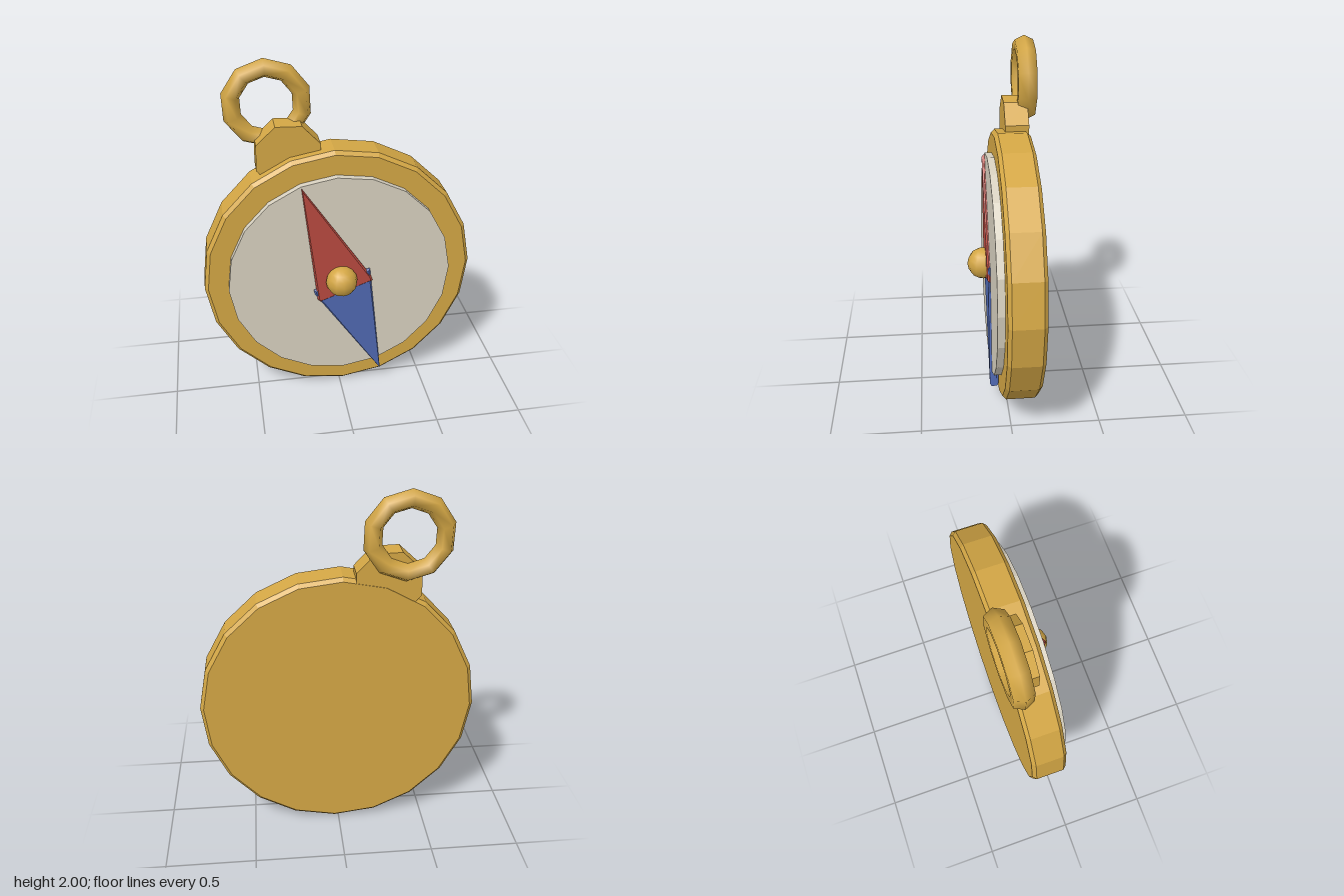
import * as THREE from 'three';

const paint = (name, color, flatShading = true) => {
  const m = new THREE.MeshStandardMaterial({ color, flatShading });
  m.name = name;
  return m;
};

// Faceted disc turned about the z axis; profile is [radius, z] from back to front
function disc(profile, sides, turn) {
  const points = profile.map(([r, z]) => new THREE.Vector2(r, z));
  return new THREE.LatheGeometry(points, sides, turn).rotateX(Math.PI / 2);
}

// Thin plate with chamfered edges, kept inside its outline
function plate(outline, depth) {
  const bevel = 0.01;
  const shape = new THREE.Shape(outline.map(([x, y]) => new THREE.Vector2(x, y)));
  return new THREE.ExtrudeGeometry(shape, {
    depth: depth - 2 * bevel, bevelEnabled: true, bevelSegments: 1,
    bevelSize: bevel, bevelThickness: bevel, bevelOffset: -bevel,
  }).translate(0, 0, bevel);
}

export function createModel() {
  const group = new THREE.Group();
  group.name = 'compass';
  const gold = paint('gold', 0xd4a745);
  const smoothGold = gold;
  const ivory = paint('ivory', 0xd8d1c0);
  const red = paint('red', 0xb94a3f);
  const blue = paint('blue', 0x4f68b1);
  // one gold colour: rounded parts keep smooth normals, faceted parts get split ones
  gold.flatShading = false;

  const add = (name, geometry, material, x, y, z) => {
    const mesh = new THREE.Mesh(geometry, material);
    mesh.name = name;
    mesh.position.set(x, y, z);
    group.add(mesh);
    return mesh;
  };
  const faceted = (geometry) => {
    const g = geometry.toNonIndexed();
    g.computeVertexNormals();
    return g;
  };

  // Case with chamfered rims
  add('case', faceted(disc([[0, -0.155], [0.75, -0.155], [0.77, -0.135],
    [0.77, 0.025], [0.75, 0.045], [0, 0.045]], 20, 0.03)), gold, 0, 0.77, 0);

  // Dial
  add('dial', disc([[0, 0.03], [0.636, 0.03], [0.636, 0.085], [0, 0.085]], 20, 0.03),
    ivory, 0, 0.77, 0);

  // Needle halves
  add('northNeedle', plate([[-0.213, 1.36], [-0.135, 0.645], [-0.118, 0.63],
    [0.185, 0.745], [0.172, 0.78]], 0.05), red, 0, 0, 0.052);
  add('southNeedle', plate([[0.245, 0.09], [0.168, 0.825], [0.148, 0.822],
    [-0.157, 0.71], [-0.15, 0.68]], 0.05), blue, 0, 0, 0.048);

  // Centre pivot
  add('pivot', new THREE.SphereGeometry(0.09, 12, 8), smoothGold, 0, 0.775, 0.115);

  // Lug joining the ring to the case
  add('lug', faceted(disc([[0, -0.154], [0.187, -0.154], [0.187, -0.022], [0, -0.022]],
    8, 0.36)), gold, -0.265, 1.495, 0);

  // Hanging ring
  const ring = add('ring', new THREE.TorusGeometry(0.195, 0.05, 6, 10), smoothGold,
    -0.36, 1.755, -0.152);
  ring.rotation.z = THREE.MathUtils.degToRad(20);
  ring.scale.z = 1.2;

  return group;
}
